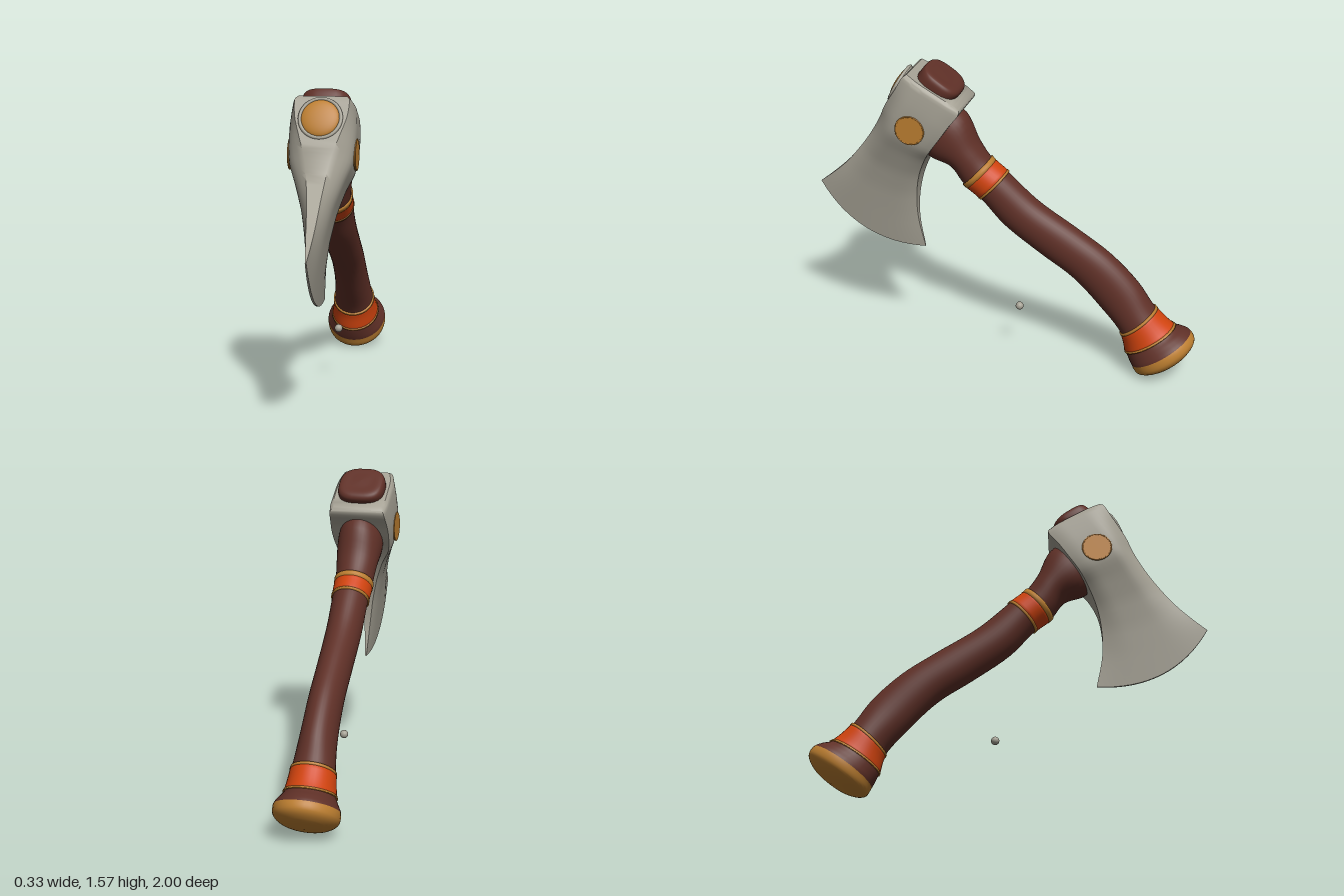
import * as THREE from 'three';
import { toCreasedNormals } from 'three/addons/utils/BufferGeometryUtils.js';

const material = (name, color) => {
  const m = new THREE.MeshStandardMaterial({ color });
  m.name = name;
  return m;
};

// Skin over rows of points, each row a closed ring; caps fold the ring across itself
function skin(rows, caps, crease) {
  const n = rows[0].length, index = [];
  for (let i = 0; i < rows.length - 1; i++) {
    for (let j = 0; j < n; j++) {
      const k = (j + 1) % n, a = i * n + j, b = i * n + k;
      index.push(a, b, a + n, b, b + n, a + n);
    }
  }
  if (caps) {
    const e = (rows.length - 1) * n;
    for (let j = 0; j < n / 2 - 1; j++) {
      const a = j, b = j + 1, c = n - 2 - j, d = n - 1 - j;
      index.push(a, c, b, a, d, c, e + a, e + b, e + c, e + a, e + c, e + d);
    }
  }
  const g = new THREE.BufferGeometry();
  g.setAttribute('position', new THREE.Float32BufferAttribute(rows.flat(2), 3));
  g.setIndex(index);
  g.computeVertexNormals();
  return crease ? toCreasedNormals(g, crease) : g;
}

// Tube between two outlines; station = [upper z, upper y, lower z, lower y, half width in x]
function outlineTube(stations, { from = 0, to = stations.length - 1, offset = 0, power = 2, steps = 5 } = {}) {
  const upper = new THREE.CatmullRomCurve3(stations.map(s => new THREE.Vector3(s[4], s[1], s[0])));
  const lower = new THREE.CatmullRomCurve3(stations.map(s => new THREE.Vector3(0, s[3], s[2])));
  const count = Math.max(4, Math.ceil((to - from) * steps)), rows = [];
  const bend = v => Math.sign(v) * Math.pow(Math.abs(v), 2 / power);
  for (let i = 0; i <= count; i++) {
    // raised bands close down onto the surface at both ends
    const raised = offset > 0;
    const f = raised ? Math.min(Math.max((i - 1) / (count - 2), 0), 1) : i / count;
    const o = raised && (i === 0 || i === count) ? -0.004 : offset;
    const t = Math.min((from + (to - from) * f) / (stations.length - 1), 1);
    const u = upper.getPoint(t), l = lower.getPoint(t);
    const hy = (u.y - l.y) / 2, hz = (u.z - l.z) / 2;
    const grow = 1 + o / Math.max(Math.hypot(hy, hz), 0.02);
    const row = [];
    for (let j = 0; j < 36; j++) {
      const a = j / 36 * Math.PI * 2, c = bend(Math.cos(a)) * grow;
      row.push([(Math.max(u.x, 0) + o) * bend(Math.sin(a)), (u.y + l.y) / 2 + hy * c, (u.z + l.z) / 2 + hz * c]);
    }
    rows.push(row);
  }
  return skin(rows, false);
}

const HANDLE = [
  [0.35, 1.40, 0.476, 1.18, 0.10],
  [0.21, 1.326, 0.39, 1.08, 0.115],
  [0.14, 1.18, 0.283, 1.043, 0.105],
  [0.08, 1.096, 0.214, 0.952, 0.095],
  [-0.005, 1.027, 0.128, 0.882, 0.091],
  [-0.166, 0.888, 0.005, 0.749, 0.088],
  [-0.38, 0.754, -0.187, 0.61, 0.085],
  [-0.55, 0.64, -0.358, 0.497, 0.085],
  [-0.695, 0.50, -0.508, 0.348, 0.09],
  [-0.79, 0.364, -0.62, 0.214, 0.106],
  [-0.888, 0.278, -0.647, 0.118, 0.123],
  [-0.936, 0.267, -0.663, 0.08, 0.142],
  [-0.973, 0.25, -0.68, 0.048, 0.16],
  [-0.995, 0.214, -0.706, 0.008, 0.157],
  [-0.973, 0.153, -0.772, 0.01, 0.11],
  [-0.882, 0.068, -0.882, 0.068, 0],
];

const PEG = [
  [0.48, 1.48, 0.295, 1.358, 0.118],
  [0.435, 1.53, 0.25, 1.408, 0.12],
  [0.41, 1.562, 0.225, 1.44, 0.118],
  [0.395, 1.573, 0.23, 1.464, 0.106],
  [0.355, 1.552, 0.275, 1.497, 0.05],
  [0.313, 1.526, 0.313, 1.526, 0],
];

// Head sections from poll to cutting edge:
// [front z, front y, back z, back y, half thickness front, middle, back]
const HEAD = [
  [0.47, 1.545, 0.21, 1.40, 0.115, 0.135, 0.12],
  [0.49, 1.53, 0.20, 1.375, 0.13, 0.15, 0.14],
  [0.53, 1.465, 0.25, 1.305, 0.125, 0.158, 0.148],
  [0.60, 1.36, 0.305, 1.225, 0.09, 0.158, 0.148],
  [0.64, 1.28, 0.358, 1.15, 0.062, 0.148, 0.135],
  [0.695, 1.187, 0.40, 1.08, 0.045, 0.112, 0.095],
  [0.76, 1.096, 0.444, 0.973, 0.032, 0.073, 0.055],
  [0.84, 1.00, 0.465, 0.856, 0.022, 0.045, 0.03],
  [0.92, 0.925, 0.465, 0.722, 0.013, 0.025, 0.015],
  [1.0, 0.86, 0.433, 0.556, 0.003, 0.005, 0.003],
];

function headGeometry() {
  const curve = (a, b, c) => new THREE.CatmullRomCurve3(HEAD.map(s => new THREE.Vector3(s[a], s[b], c ? s[c] : 0)));
  const front = curve(0, 1), back = curve(2, 3), thick = curve(4, 5, 6);
  const rows = [], count = 36, m = 16;
  for (let i = 0; i <= count; i++) {
    const t = i / count, F = front.getPoint(t), B = back.getPoint(t), T = thick.getPoint(t);
    // the lower sections bow out toward the curved cutting edge
    const bow = 0.1 * Math.pow(Math.max(0, (t - 0.45) / 0.55), 1.5);
    const side = sign => Array.from({ length: m + 1 }, (_, j) => {
      const u = j / m, arc = 4 * u * (1 - u) * bow;
      let x = T.y;
      if (u < 0.35) x -= (T.y - T.x) * (1 - u / 0.35) ** 2;
      if (u > 0.75) x -= (T.y - T.z) * ((u - 0.75) / 0.25) ** 2;
      return [sign * x, F.y + (B.y - F.y) * u - 0.88 * arc, F.x + (B.x - F.x) * u + 0.47 * arc];
    });
    rows.push([...side(-1), ...side(1).reverse()]);
  }
  return skin(rows, true, 0.7);
}

export function createModel() {
  const steel = material('steel', 0xa5a194);
  const wood = material('redBrownWood', 0x5f3027);
  const orange = material('orangeWrap', 0xd0430e);
  const gold = material('gold', 0xbc7e30);
  const axe = new THREE.Group();
  axe.name = 'axe';
  const add = (name, geometry, mat, parent = axe) => {
    const mesh = new THREE.Mesh(geometry, mat);
    mesh.name = name;
    parent.add(mesh);
    return mesh;
  };

  // Handle, its domed butt and the peg on top of the head
  add('handle', outlineTube(HANDLE, { to: 12 }), wood);
  add('buttCap', outlineTube(HANDLE, { from: 12, steps: 6 }), gold);
  add('topPeg', outlineTube(PEG, { power: 2.8 }), wood);

  // Wrapped bands with gold edging
  const bands = [
    ['neckBand', orange, 3.2, 3.97, 0.005], ['neckTrimTop', gold, 2.98, 3.25, 0.007],
    ['neckTrimBottom', gold, 3.94, 4.03, 0.007],
    ['buttBand', orange, 9.0, 9.98, 0.005], ['buttTrimTop', gold, 8.95, 9.05, 0.007],
    ['buttTrimBottom', gold, 9.9, 10.06, 0.007],
  ];
  for (const [name, mat, from, to, offset] of bands) {
    add(name, outlineTube(HANDLE, { from, to, offset, steps: 8 }), mat);
  }

  // Head and blade
  add('axeHead', headGeometry(), steel);

  // Round medallion on the poll, facing forward and up
  const poll = new THREE.Group();
  poll.name = 'pollMedallion';
  poll.position.set(0, 1.45, 0.548);
  poll.rotation.x = -0.5;
  axe.add(poll);
  const collar = add('pollCollar', new THREE.CylinderGeometry(0.102, 0.106, 0.07, 40), steel, poll);
  collar.rotation.x = Math.PI / 2;
  collar.position.z = -0.033;
  add('pollRing', new THREE.TorusGeometry(0.097, 0.009, 10, 40), steel, poll);
  add('pollDome', new THREE.SphereGeometry(0.092, 32, 16), gold, poll).scale.z = 0.25;

  // Flat medallions on both cheeks
  for (const s of [-1, 1]) {
    const disc = add(s > 0 ? 'leftMedallion' : 'rightMedallion', new THREE.CylinderGeometry(0.072, 0.074, 0.0098, 36), gold);
    disc.rotation.z = -s * Math.PI / 2;
    disc.position.set(s * 0.157, 1.267, 0.45);
    const rim = add(s > 0 ? 'leftMedallionRim' : 'rightMedallionRim', new THREE.TorusGeometry(0.073, 0.004, 8, 36), gold);
    rim.rotation.y = Math.PI / 2;
    rim.position.set(s * 0.159, 1.267, 0.45);
  }

  // Small loose stud below the handle
  add('looseStud', new THREE.SphereGeometry(0.021, 16, 12), steel).position.set(0, 0.277, -0.075);

  return axe;
}
